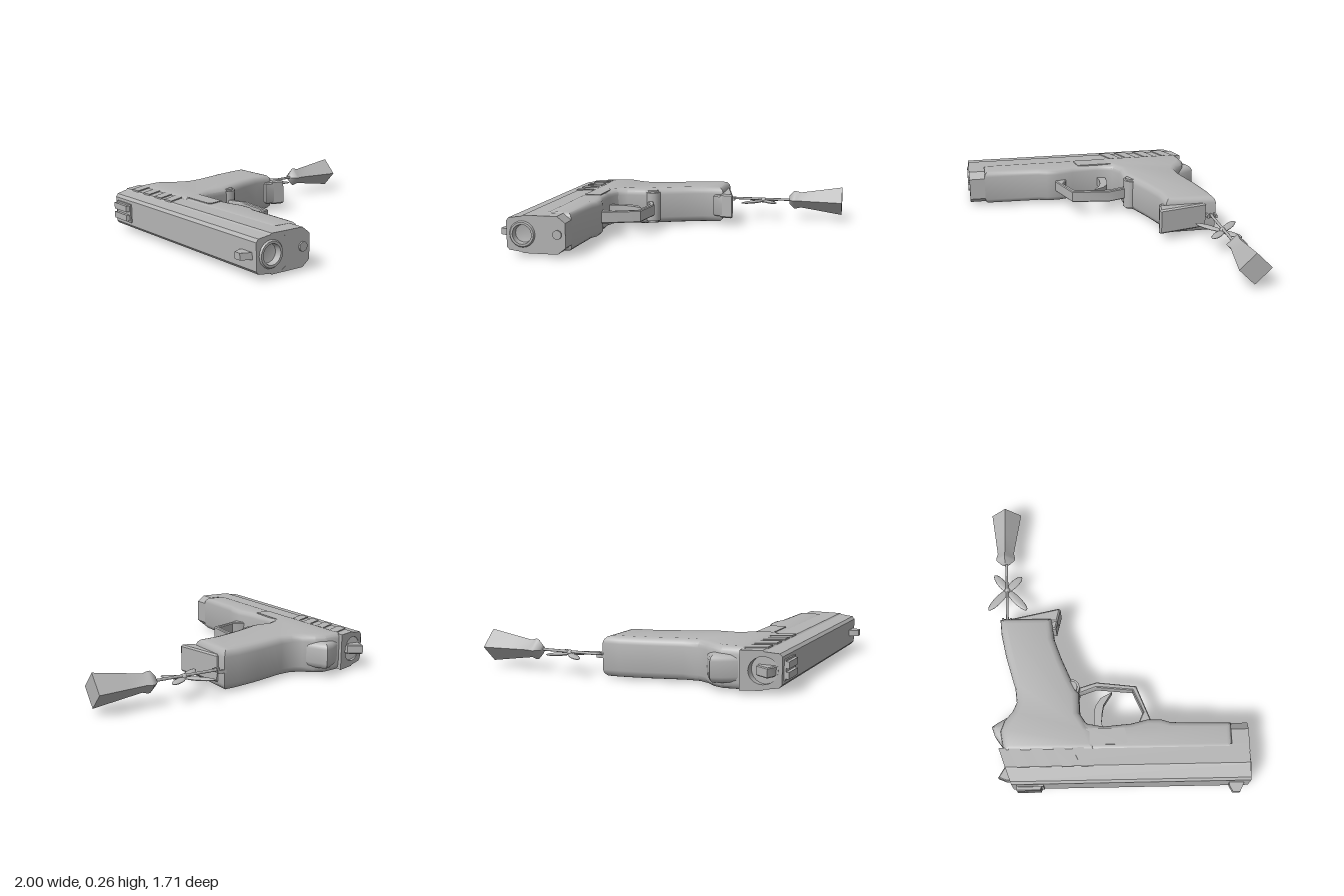
import * as THREE from 'three';
import { toCreasedNormals } from 'three/addons/utils/BufferGeometryUtils.js';

const MID = 0.135; // height of the central plane

export function createModel() {
  const model = new THREE.Group();
  model.name = 'pistolWithCharm';
  const grey = new THREE.MeshStandardMaterial({ color: 0xb4b4b4 });
  grey.name = 'plain grey';

  const add = (name, geometry, crease = 0.6) => {
    const mesh = new THREE.Mesh(crease ? toCreasedNormals(geometry, crease) : geometry, grey);
    mesh.name = name;
    model.add(mesh);
    return mesh;
  };
  const outline = (pts, flip) => new THREE.Shape(pts.map(([a, b]) => new THREE.Vector2(a, flip ? -b : b)));

  // Flat part: [x, z] outline, raised from y0 to y1, with edges rounded inwards
  const slab = (name, pts, y0, y1, bevel = 0, segments = 3) => {
    const g = new THREE.ExtrudeGeometry(outline(pts, true), {
      depth: y1 - y0 - 2 * bevel, bevelEnabled: bevel > 0,
      bevelSize: bevel, bevelThickness: bevel, bevelOffset: -bevel, bevelSegments: segments,
    });
    g.rotateX(-Math.PI / 2).translate(0, y0 + bevel, 0);
    return add(name, g);
  };
  // Part with an [x, y] section running from z0 to z1
  const bar = (shape, z0, z1) => {
    const g = new THREE.ExtrudeGeometry(shape, { depth: z1 - z0, bevelEnabled: false, curveSegments: 10 });
    return g.translate(0, 0, z0);
  };

  // Slide with stepped sides, open muzzle and slanted rear
  const half = [[-0.94, 0.08], [-0.925, 0.098], [-0.845, 0.108], [-0.835, 0.115], [-0.715, 0.115]];
  const section = outline([
    ...half.map(([x, h]) => [x, MID - h]),
    ...half.slice().reverse().map(([x, h]) => [x, MID + h]),
  ]);
  const bore = new THREE.Path();
  bore.absarc(-0.84, MID, 0.08, 0, Math.PI * 2, true);
  section.holes.push(bore);
  const slide = bar(section, -0.66, 0.84);
  const p = slide.attributes.position;
  for (let i = 0; i < p.count; i++) {
    if (p.getZ(i) < 0) p.setZ(i, -0.66 - (p.getX(i) + 0.94) * 0.36);
  }
  slide.computeVertexNormals();
  add('slide', slide, 0.4);

  // Barrel ring with a closed recess
  const barrel = new THREE.LatheGeometry(
    [[0.081, -0.5], [0.081, 0.84], [0.074, 0.85], [0.06, 0.85], [0.055, 0.81], [0, 0.80]]
      .map(([r, y]) => new THREE.Vector2(r, y)), 20);
  barrel.rotateX(Math.PI / 2).translate(-0.84, MID, 0);
  add('barrel', barrel);
  const breech = new THREE.CylinderGeometry(0.08, 0.08, 0.04, 20);
  breech.rotateX(Math.PI / 2).translate(-0.84, MID, -0.65);
  add('breechPlug', breech);

  // Slanted rear serrations on both sides
  for (const z of [-0.62, -0.48, -0.34, -0.22]) {
    for (const y of [MID - 0.122, MID + 0.112]) {
      slab('serration', [[-0.84, z], [-0.72, z - 0.06], [-0.72, z + 0.015], [-0.84, z + 0.075]], y, y + 0.01);
    }
  }

  // Sights and hammer
  slab('frontSight', [[-1, 0.73], [-0.96, 0.71], [-0.93, 0.71], [-0.93, 0.81], [-1, 0.775]], 0.115, 0.155);
  slab('rearSightBase', [[-0.95, -0.63], [-0.92, -0.63], [-0.92, -0.46], [-0.95, -0.46]], 0.075, 0.195);
  for (const y of [0.085, 0.145]) {
    slab('rearSightPost', [[-0.97, -0.63], [-0.94, -0.63], [-0.94, -0.47], [-0.97, -0.48]], y, y + 0.04);
  }
  slab('hammer', [[-0.91, -0.65], [-0.905, -0.7], [-0.885, -0.75], [-0.8, -0.7], [-0.8, -0.64]], 0.105, 0.165, 0.006, 1);

  // Frame ahead of the grip
  slab('dustCover', [
    [-0.745, -0.25], [-0.5, -0.25], [-0.56, -0.18], [-0.58, -0.08], [-0.565, 0.1], [-0.54, 0.2],
    [-0.54, 0.29], [-0.56, 0.35], [-0.57, 0.735], [-0.745, 0.735],
  ], 0.015, 0.255, 0.035);
  const nose = outline([[-0.765, 0.02], [-0.62, 0.02], [-0.57, 0.06], [-0.57, 0.21],
    [-0.62, 0.25], [-0.765, 0.25], [-0.765, 0.235], [-0.74, 0.22], [-0.74, 0.05], [-0.765, 0.035]]);
  add('noseBlock', bar(nose, 0.73, 0.842));
  const rod = new THREE.CylinderGeometry(0.028, 0.028, 0.06, 16);
  rod.rotateX(Math.PI / 2).translate(-0.62, 0.14, 0.822);
  add('guideRod', rod);

  // Grip, beavertail and butt
  slab('grip', [
    [-0.745, -0.71], [-0.6, -0.735], [-0.53, -0.71], [-0.47, -0.66], [-0.41, -0.635], [-0.32, -0.645],
    [-0.1, -0.71], [0.06, -0.745], [0.165, -0.755], [0.165, -0.415], [0.02, -0.395], [-0.12, -0.345],
    [-0.26, -0.285], [-0.36, -0.235], [-0.49, -0.23], [-0.57, -0.18], [-0.6, -0.13], [-0.745, -0.13],
  ], 0.01, 0.262, 0.045);
  slab('beavertail', [[-0.71, -0.71], [-0.62, -0.775], [-0.56, -0.797], [-0.535, -0.76],
    [-0.49, -0.68], [-0.46, -0.6], [-0.71, -0.6]], 0.05, 0.22, 0.04);
  slab('buttPlate', [[0.15, -0.685], [0.175, -0.685], [0.242, -0.37], [0.235, -0.355], [0.15, -0.375]],
    0.05, 0.22, 0.01, 1);
  slab('gripLip', [[0.1, -0.42], [0.2, -0.42], [0.235, -0.357], [0.1, -0.385]], 0.06, 0.21, 0.01, 1);

  // Trigger and guard
  slab('triggerGuard', [
    [-0.56, 0.235], [-0.52, 0.225], [-0.3, 0.14], [-0.268, -0.12], [-0.305, -0.24], [-0.35, -0.26],
    [-0.302, -0.12], [-0.326, 0.115], [-0.475, 0.18], [-0.53, 0.155], [-0.56, 0.15],
  ], 0.095, 0.175, 0.006, 1);
  slab('trigger', [[-0.6, -0.14], [-0.5, -0.14], [-0.43, -0.132], [-0.375, -0.095], [-0.335, -0.02],
    [-0.42, -0.075], [-0.47, -0.085], [-0.53, -0.09], [-0.6, -0.08]], 0.105, 0.165);

  // Release button passing through the grip, and takedown lever
  const disc = (name, r, h, x, z) =>
    add(name, new THREE.CylinderGeometry(r, r, h, 12).translate(x, MID, z));
  disc('buttonCollar', 0.055, 0.2, -0.318, -0.283);
  disc('releaseButton', 0.04, 0.225, -0.318, -0.283);
  slab('sidePlate', [[-0.705, -0.17], [-0.6, -0.19], [-0.6, 0.055], [-0.69, 0.075], [-0.705, 0.06]], 0.24, 0.26);
  slab('takedownLever', [[-0.69, -0.045], [-0.61, -0.045], [-0.61, 0.03], [-0.69, 0.03]], 0, 0.03, 0.006, 1);

  // Lanyard loop and cord
  for (const z of [-0.75, -0.695]) {
    add('loopArm', new THREE.BoxGeometry(0.06, 0.02, 0.012).translate(0.18, MID, z));
  }
  add('loopBar', new THREE.BoxGeometry(0.012, 0.02, 0.055).translate(0.195, MID, -0.7225));
  const cord = new THREE.LineCurve3(new THREE.Vector3(0.18, 0.14, -0.718), new THREE.Vector3(0.64, 0.137, -0.735));
  add('cord', new THREE.TubeGeometry(cord, 1, 0.009, 8), 0);

  // Four-petal bow
  for (const [x, z] of [[0.285, -0.845], [0.53, -0.81], [0.28, -0.595], [0.515, -0.635]]) {
    const cx = 0.42, cz = -0.725;
    const petal = add('bowPetal', new THREE.SphereGeometry(1, 14, 8), 0);
    petal.scale.set(Math.hypot(x - cx, z - cz) / 2 + 0.01, 0.01, 0.028);
    petal.position.set((x + cx) / 2, 0.124, (z + cz) / 2);
    petal.rotation.y = -Math.atan2(z - cz, x - cx);
  }
  const knot = add('bowKnot', new THREE.SphereGeometry(0.02, 10, 8), 0);
  knot.position.set(0.42, 0.13, -0.725);

  // Flared four-sided tassel
  const tassel = new THREE.LatheGeometry(
    [[0, 0.61], [0.03, 0.612], [0.065, 0.645], [0.066, 0.66], [0.056, 0.695], [0.075, 0.82], [0.102, 0.995], [0, 0.995]]
      .map(([r, y]) => new THREE.Vector2(r, y)), 4);
  tassel.rotateZ(-Math.PI / 2).translate(0, 0.137, -0.742);
  add('tassel', tassel, 0.9);

  return model;
}
